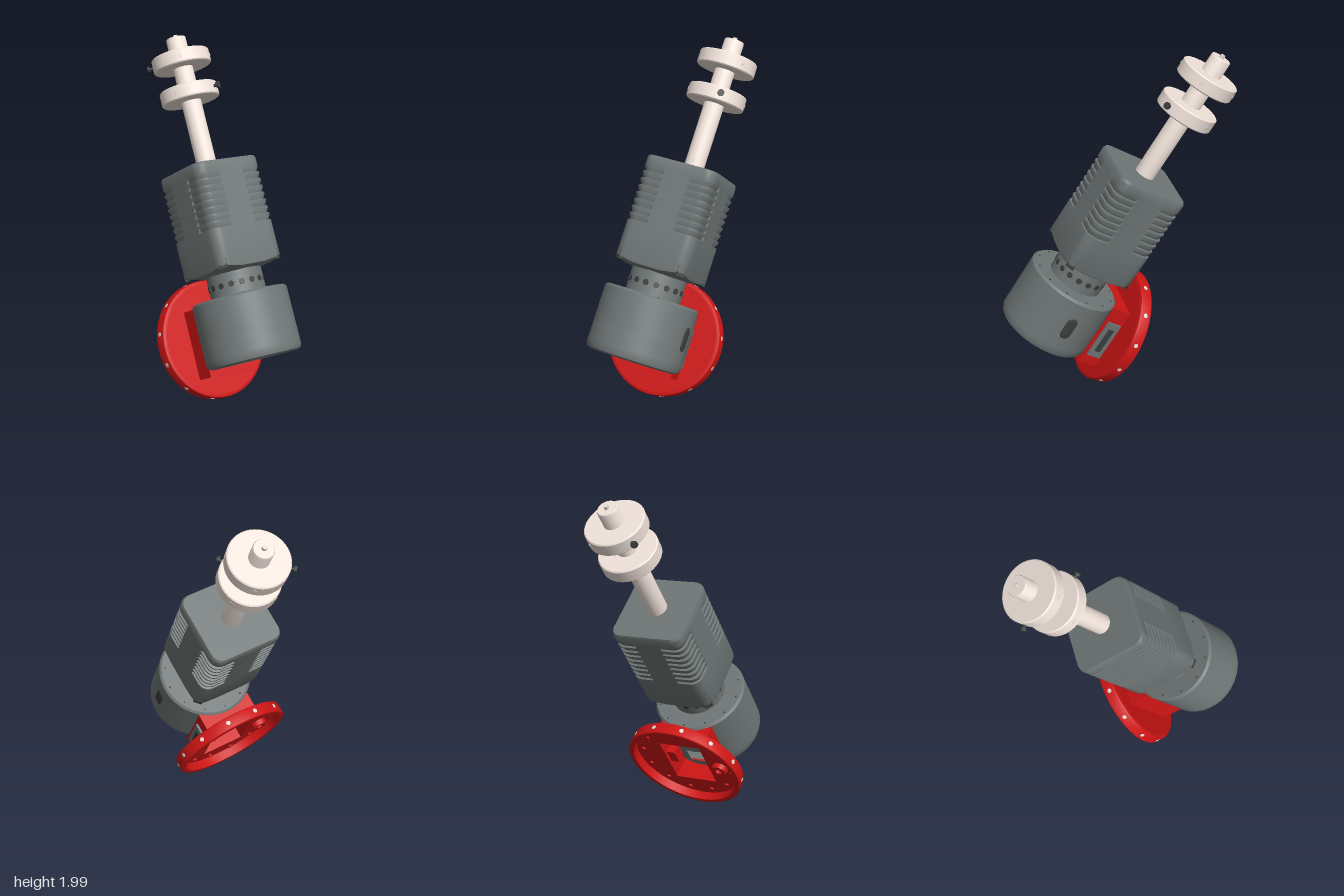
import * as THREE from 'three';
import { toCreasedNormals } from 'three/addons/utils/BufferGeometryUtils.js';

const mat = (color, side = THREE.FrontSide) => new THREE.MeshStandardMaterial({ color, side });
const GREY = mat(0x6e7675, THREE.DoubleSide);
const DARK = mat(0x3a3f3e);
const BEIGE = mat(0xf0e2da);
const RED = mat(0xcc1414, THREE.DoubleSide);
const PALE = mat(0xe6dcd4);

function add(parent, name, geo, material, x = 0, y = 0, z = 0) {
  const m = new THREE.Mesh(geo, material);
  m.name = name;
  m.position.set(x, y, z);
  parent.add(m);
  return m;
}

// turned part about y from [radius, height] pairs
function turned(points, start = 0, sweep = Math.PI * 2) {
  const pts = points.map(p => new THREE.Vector2(p[0], p[1]));
  return toCreasedNormals(new THREE.LatheGeometry(pts, 64, start, sweep), 0.6);
}

// small round peg pointing outwards from the y axis, angle measured from +z
function peg(parent, name, angle, radius, y, size, length, material) {
  const m = add(parent, name, new THREE.CylinderGeometry(size, size, length, 12), material,
    Math.sin(angle) * radius, y, Math.cos(angle) * radius);
  m.quaternion.setFromUnitVectors(new THREE.Vector3(0, 1, 0),
    new THREE.Vector3(Math.sin(angle), 0, Math.cos(angle)));
  return m;
}

// rectangle path, used for both outlines and holes
function rect(Type, x0, y0, x1, y1) {
  const p = new Type();
  p.moveTo(x0, y0); p.lineTo(x1, y0); p.lineTo(x1, y1); p.lineTo(x0, y1); p.closePath();
  return p;
}

// rounded square housing with domed underside and louvres pressed into the corners
function housingGeometry() {
  const h = 0.215, r = 0.06, ring = [];
  for (let k = 0; k < 4; k++) {
    const quarter = [[h, 0.075, 0], [h, 0.09, 1]];
    for (let j = 0; j <= 8; j++) {
      const a = (j / 8) * Math.PI / 2;
      quarter.push([h - r + r * Math.cos(a), h - r + r * Math.sin(a), 1]);
    }
    quarter.push([0.09, h, 1], [0.075, h, 0]);
    const c = [1, 0, -1, 0][k], s = [0, 1, 0, -1][k];
    quarter.forEach(([x, z, d]) => ring.push([x * c - z * s, x * s + z * c, d]));
  }
  // rows: height, scale, louvre depth, doming
  const rows = [[0.485, 0.001, 0, 0.6], [0.485, 0.5, 0, 0.6], [0.485, 0.98, 0, 0.6], [0.495, 1, 0, 0.6]];
  for (let i = 0; i < 8; i++) {
    const y = 0.74 + i * 0.04;
    rows.push([y, 1, 0, 0], [y + 0.003, 1, 0.05, 0], [y + 0.03, 1, 0, 0]);
  }
  rows.push([1.1, 1, 0, 0], [1.115, 0.97, 0, 0], [1.117, 0.001, 0, 0]);
  const pos = [], index = [], n = ring.length;
  rows.forEach(([y, s, dent, dome], i) => {
    ring.forEach(([x, z, d], j) => {
      const k = s * (1 - dent * d);
      pos.push(x * k, y + dome * (x * x + z * z) * s * s, z * k);
      if (i === rows.length - 1) return;
      const a = i * n + j, b = i * n + (j + 1) % n;
      index.push(a, a + n, b, b, a + n, b + n);
    });
  });
  const g = new THREE.BufferGeometry();
  g.setAttribute('position', new THREE.Float32BufferAttribute(pos, 3));
  g.setIndex(index);
  return toCreasedNormals(g, 0.5);
}

function buildDrum(parent) {
  const drum = new THREE.Group();
  drum.name = 'drum';
  parent.add(drum);
  const R = 0.272, B = 0.15, lo = 0.06, hi = 0.15, half = 0.2;
  // three bands, the middle one leaves a window in the back wall
  add(drum, 'drumLower', turned([[B, lo], [B, 0.01], [B + 0.01, 0], [R - 0.03, 0], [R - 0.009, 0.009], [R, 0.03], [R, lo]]), GREY);
  add(drum, 'drumMiddle', turned([[B, hi], [B, lo], [R, lo], [R, hi], [B, hi]], Math.PI + half, 2 * (Math.PI - half)), GREY);
  add(drum, 'drumUpper', turned([[0, 0.31], [B, 0.31], [B, hi], [R, hi], [R, 0.36], [R - 0.012, 0.372], [0, 0.372]]), GREY);
  const slot = add(drum, 'sideSlot', new THREE.CapsuleGeometry(0.033, 0.075, 6, 16), DARK, 0.268, 0.2, 0.02);
  slot.scale.x = 0.25;
  for (let i = 0; i < 12; i++) {
    const a = i * Math.PI / 6;
    add(drum, 'drumScrew', new THREE.CylinderGeometry(0.005, 0.005, 0.004, 8), DARK, 0.24 * Math.sin(a), 0.373, 0.24 * Math.cos(a));
  }
}

function buildFlange(parent) {
  const flange = new THREE.Group();
  flange.name = 'flange';
  flange.position.set(0, 0.18, -0.376);
  parent.add(flange);
  // dished plate with rectangular opening
  const disc = new THREE.Shape();
  disc.absarc(0, 0, 0.325, 0, Math.PI * 2);
  disc.holes.push(rect(THREE.Path, -0.13, -0.18, 0.13, 0.15));
  add(flange, 'flangePlate', new THREE.ExtrudeGeometry(disc, { depth: 0.022, bevelEnabled: false, curveSegments: 64 }), RED, 0, 0, 0.015);
  const rim = turned([[0.315, -0.038], [0.34, -0.038], [0.345, -0.033], [0.345, 0.024], [0.341, 0.033], [0.325, 0.038], [0.315, 0.037], [0.315, -0.038]]);
  add(flange, 'flangeRim', rim.rotateX(Math.PI / 2), RED);
  const holes = new THREE.Group();
  holes.name = 'rimHoles';
  holes.rotation.x = Math.PI / 2;
  flange.add(holes);
  for (let i = 0; i < 12; i++) {
    const a = (i + 0.5) * Math.PI / 6;
    peg(holes, 'rimHole', a, 0.341, 0, 0.013, 0.011, PALE);
    add(flange, 'plateBolt', new THREE.CylinderGeometry(0.014, 0.014, 0.012, 12).rotateX(Math.PI / 2), RED,
      0.275 * Math.cos(a), 0.275 * Math.sin(a), 0.012);
  }
  const boss = turned([[0.02, 0], [0.02, 0.03], [0.045, 0.03], [0.048, 0]]);
  add(flange, 'plateBoss', boss.rotateX(-Math.PI / 2), RED, -0.21, -0.02, 0.015);

  // hollow bracket joining flange and drum, with a connector panel on one side
  const frame = rect(THREE.Shape, -0.165, -0.215, 0.165, 0.18);
  frame.holes.push(rect(THREE.Path, -0.13, -0.18, 0.13, 0.15));
  add(flange, 'bracket', new THREE.ExtrudeGeometry(frame, { depth: 0.125, bevelEnabled: false }), RED, 0, 0, 0.03);
  add(flange, 'bracketLug', new THREE.BoxGeometry(0.05, 0.09, 0.06), RED, 0.1, 0, 0.06);
  add(flange, 'connectorPanel', new THREE.BoxGeometry(0.02, 0.24, 0.085), GREY, 0.168, -0.03, 0.092);
  add(flange, 'connectorSocket', new THREE.BoxGeometry(0.02, 0.16, 0.035), DARK, 0.171, -0.03, 0.092);
}

function buildMotor(parent) {
  const motor = new THREE.Group();
  motor.name = 'motor';
  parent.add(motor);
  add(motor, 'neck', new THREE.CylinderGeometry(0.158, 0.158, 0.17, 48), GREY, 0, 0.45, 0);
  for (let i = 0; i < 16; i++) peg(motor, 'neckHole', i * Math.PI / 8, 0.156, 0.435, 0.017, 0.008, DARK);
  add(motor, 'housing', housingGeometry(), GREY);
  for (const sx of [-1, 1]) for (const sz of [-1, 1]) {
    const clip = add(motor, 'cornerClip', new THREE.BoxGeometry(0.05, 0.06, 0.02), DARK, sx * 0.187, 0.545, sz * 0.187);
    clip.rotation.y = Math.atan2(sx, sz);
  }
}

function buildShaft(parent) {
  const shaft = new THREE.Group();
  shaft.name = 'shaft';
  parent.add(shaft);
  add(shaft, 'rod', turned([[0, 1.1], [0.057, 1.1], [0.057, 1.88], [0.053, 1.886], [0, 1.886]]), BEIGE);
  add(shaft, 'rodTip', new THREE.CylinderGeometry(0.013, 0.013, 0.02, 16), PALE, 0, 1.894, 0);
  peg(shaft, 'rodPin', 0, 0.055, 1.16, 0.011, 0.006, PALE);
  // two collars, each with a thumb screw
  for (const [y, angle] of [[1.547, 0.47], [1.746, -2.19]]) {
    const R = 0.167, t = 0.04;
    add(shaft, 'collar', turned([[0.05, y - t], [R - 0.006, y - t], [R, y - t + 0.006], [R, y + t - 0.006], [R - 0.006, y + t], [0.05, y + t]]), BEIGE);
    peg(shaft, 'screwStem', angle, R + 0.005, y, 0.009, 0.04, DARK);
    peg(shaft, 'screwHead', angle, R + 0.024, y, 0.019, 0.014, DARK);
    for (let i = 1; i < 4; i++) peg(shaft, 'collarHole', angle + i * Math.PI / 2, R - 0.001, y, 0.012, 0.006, PALE);
  }
}

export function createModel() {
  const model = new THREE.Group();
  model.name = 'motorAssembly';
  // everything stands on one leaning axis
  const arm = new THREE.Group();
  arm.name = 'leaningAssembly';
  const Y = new THREE.Vector3(0.125, 1, -0.605).normalize();
  const X = new THREE.Vector3(1, 0, 0).addScaledVector(Y, -Y.x).normalize();
  const Z = new THREE.Vector3().crossVectors(X, Y);
  arm.quaternion.setFromRotationMatrix(new THREE.Matrix4().makeBasis(X, Y, Z));
  arm.position.set(-0.02, 0.36, 0.42);
  model.add(arm);
  buildDrum(arm);
  buildFlange(arm);
  buildMotor(arm);
  buildShaft(arm);
  return model;
}
